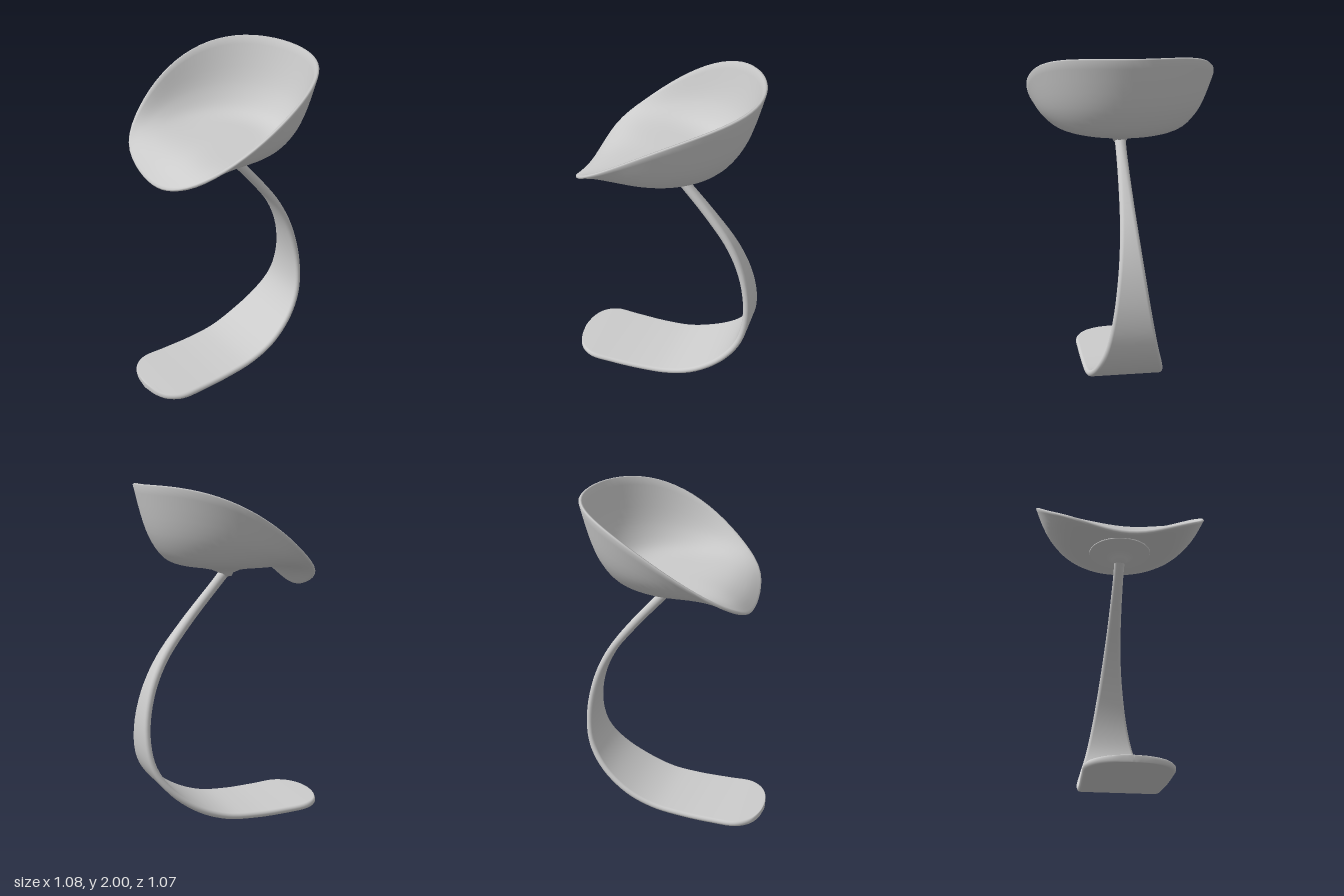
import * as THREE from 'three';

const material = new THREE.MeshStandardMaterial({ color: 0xcccccc, side: THREE.DoubleSide });

// Skin a list of closed rings (equal point counts) with smooth normals
function loft(name, rings) {
  const n = rings[0].length;
  const index = [];
  for (let i = 0; i < rings.length - 1; i++) {
    for (let j = 0; j < n; j++) {
      const k = (j + 1) % n;
      const a = i * n + j, b = i * n + k, c = a + n, d = b + n;
      index.push(a, b, c, b, d, c);
    }
  }
  const geometry = new THREE.BufferGeometry();
  geometry.setAttribute('position', new THREE.Float32BufferAttribute(rings.flat(2), 3));
  geometry.setIndex(index);
  geometry.computeVertexNormals();
  const mesh = new THREE.Mesh(geometry, material);
  mesh.name = name;
  return mesh;
}

// Bowl seat: high back, front lip rolled down; angle 0 is the front
function createSeat() {
  const base = 1.535, thickness = 0.02, steps = 20, sides = 64;
  const wall = new THREE.SplineCurve([
    [0, 0], [0.28, 0], [0.52, 0.012], [0.69, 0.1], [0.82, 0.31], [0.91, 0.58], [1, 1],
  ].map(([r, h]) => new THREE.Vector2(r, h)));

  const columns = [];
  for (let j = 0; j < sides; j++) {
    const t = (j / sides) * Math.PI * 2;
    const c = Math.cos(t);
    // Round rim, flattened across the front
    const cut = Math.max(0, c) / 0.462;
    const radius = (0.535 ** -12 + cut ** 12) ** (-1 / 12);
    const rim = 1.757 - 0.308 * c - 0.061 * Math.cos(2 * t) + 0.006 * Math.cos(3 * t);
    const soft = Math.max(0, c) ** 2 * 0.6;

    const outer = [];
    for (let i = 0; i <= steps; i++) {
      const p = wall.getPoint(i / steps);
      const h = THREE.MathUtils.lerp(p.y, p.x ** 3.5, soft);
      outer.push([p.x * radius, base + (rim - base) * h]);
    }
    // Inner surface, offset along the profile normal
    const inner = outer.map((p, i) => {
      if (i === 0) return [0, p[1] + thickness];
      const a = outer[i - 1], b = outer[Math.min(i + 1, steps)];
      const dr = b[0] - a[0], dy = b[1] - a[1], len = Math.hypot(dr, dy);
      return [Math.max(0, p[0] - dy / len * thickness), p[1] + dr / len * thickness];
    });
    // Slightly rounded rim edge
    const o = outer[steps], q = inner[steps], e = outer[steps - 1];
    const l = Math.hypot(o[0] - e[0], o[1] - e[1]);
    const edge = [0, 1].map((m) => (o[m] + q[m]) / 2 + (o[m] - e[m]) / l * 0.005);
    columns.push([...outer, edge, ...inner.reverse()]
      .map(([r, y]) => [r * Math.sin(t), y, r * c]));
  }
  const rings = columns[0].map((_, i) => columns.map((column) => column[i]));
  return loft('seat', rings);
}

// One sweeping ribbon: slim neck at the top, widening into the flat foot
function createStem() {
  // half width, height, forward position
  const path = new THREE.CatmullRomCurve3([
    [0.036, 1.51, 0.01], [0.032, 1.45, -0.04], [0.04, 1.2, -0.26], [0.055, 1.0, -0.41],
    [0.078, 0.8, -0.5], [0.112, 0.57, -0.54], [0.15, 0.38, -0.515], [0.19, 0.235, -0.42],
    [0.222, 0.115, -0.26], [0.23, 0.048, -0.09], [0.235, 0.025, 0.1], [0.24, 0.022, 0.3],
    [0.236, 0.026, 0.45], [0.185, 0.027, 0.53], [0.11, 0.028, 0.57], [0.02, 0.028, 0.585],
  ].map((p) => new THREE.Vector3(...p)));

  const steps = 75, arc = 6, rings = [];
  for (let i = 0; i <= steps; i++) {
    const s = i / steps;
    const p = path.getPoint(s), d = path.getTangent(s);
    const len = Math.hypot(d.y, d.z) || 1;
    const ny = d.z / len, nz = -d.y / len;
    const thick = THREE.MathUtils.lerp(0.03, 0.019, Math.min(1, s * 3));
    const flat = Math.max(0, p.x - thick);
    const ring = [];
    // Two rounded edges joined by flat faces
    for (const side of [1, -1]) {
      for (let k = 0; k <= arc; k++) {
        const a = (k / arc - 0.5) * Math.PI;
        const across = side * (flat + Math.min(thick, p.x) * Math.cos(a));
        const up = side * thick * Math.sin(a);
        ring.push([across, p.y + ny * up, p.z + nz * up]);
      }
    }
    const centre = ring.map(() => [0, p.y, p.z]);
    if (i === 0) rings.push(centre);
    rings.push(ring);
    if (i === steps) rings.push(centre);
  }
  return loft('stemAndFoot', rings);
}

// Flared mounting disc under the seat
function createFlange() {
  const profile = [
    [0, 1.46], [0.034, 1.465], [0.045, 1.485], [0.09, 1.505], [0.15, 1.518], [0.188, 1.527],
    [0.19, 1.533], [0.18, 1.538], [0, 1.538],
  ].map(([r, y]) => new THREE.Vector2(r, y));
  const mesh = new THREE.Mesh(new THREE.LatheGeometry(profile, 48), material);
  mesh.name = 'mountingDisc';
  return mesh;
}

export function createModel() {
  const model = new THREE.Group();
  model.name = 'stool';
  // The stool is turned so that its open side points front right
  const stool = new THREE.Group();
  stool.name = 'turnedStool';
  stool.rotation.y = -THREE.MathUtils.degToRad(57);
  stool.add(createSeat(), createFlange(), createStem());
  model.add(stool);
  return model;
}
